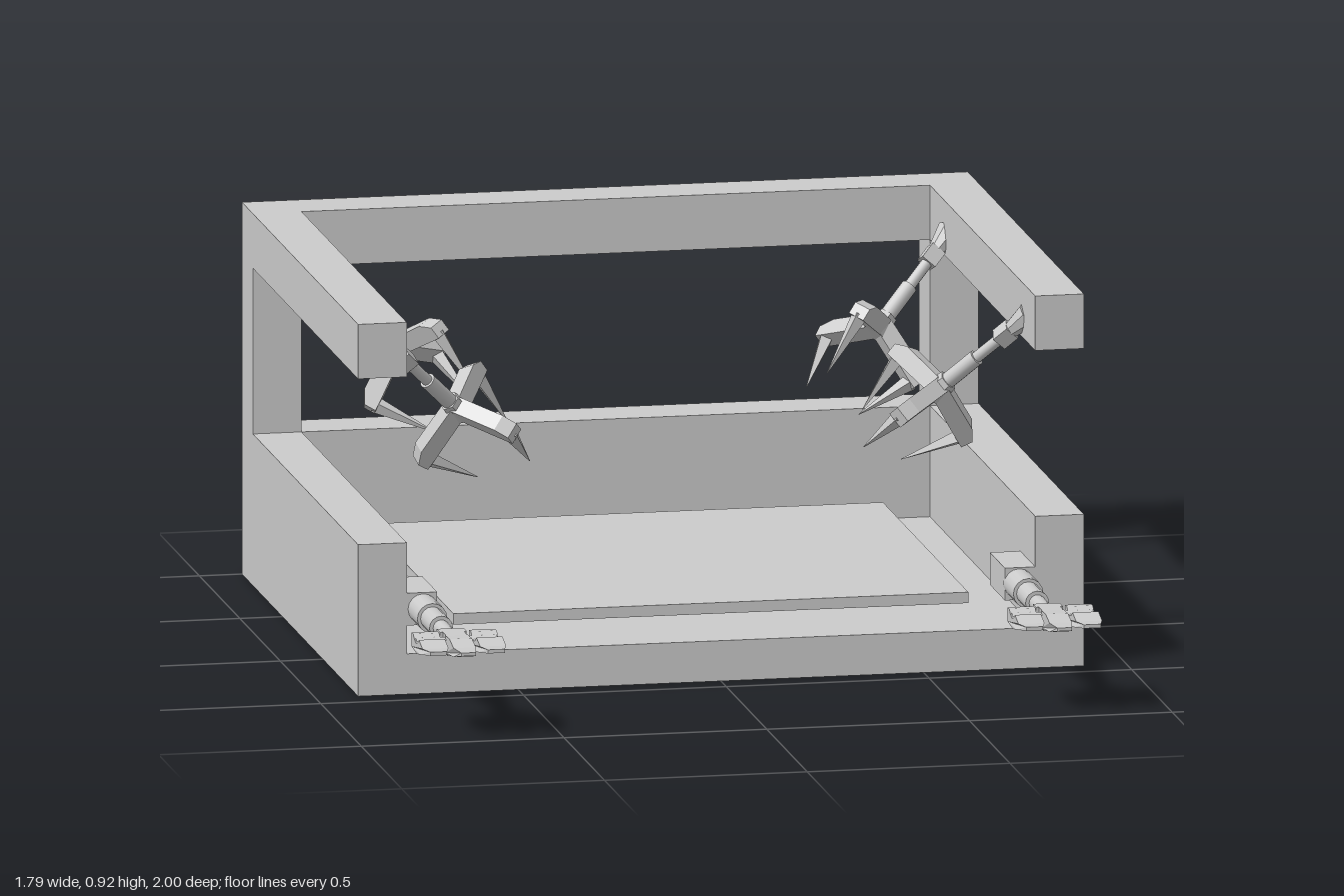
import * as THREE from 'three';

const grey = new THREE.MeshStandardMaterial({ color: 0xcccccc, flatShading: true });
const smooth = new THREE.MeshStandardMaterial({ color: 0xcccccc });

function add(parent, name, geometry, material = grey) {
  const mesh = new THREE.Mesh(geometry, material);
  mesh.name = name;
  parent.add(mesh);
  return mesh;
}

// Box given by its lower and upper corners
function box(parent, name, a, b) {
  const g = new THREE.BoxGeometry(b[0] - a[0], b[1] - a[1], b[2] - a[2]);
  g.translate((a[0] + b[0]) / 2, (a[1] + b[1]) / 2, (a[2] + b[2]) / 2);
  return add(parent, name, g);
}

// Tapered rod between two points
function rod(parent, name, p, q, r0, r1, sides = 16, material = smooth) {
  const a = new THREE.Vector3(...p), b = new THREE.Vector3(...q);
  const dir = b.clone().sub(a);
  const mesh = add(parent, name, new THREE.CylinderGeometry(r1, r0, dir.length(), sides), material);
  mesh.position.copy(a).add(b).multiplyScalar(0.5);
  mesh.quaternion.setFromUnitVectors(new THREE.Vector3(0, 1, 0), dir.normalize());
  return mesh;
}

// Outline extruded to a given width, centred on its own plane
function plate(points, width) {
  const shape = new THREE.Shape(points.map(([x, y]) => new THREE.Vector2(x, y)));
  return new THREE.ExtrudeGeometry(shape, { depth: width, bevelEnabled: false }).translate(0, 0, -width / 2);
}

// U-shaped plan, open at the front, between two heights
function uFrame(parent, name, y0, y1) {
  const plan = [[-0.895, -0.435], [-0.775, -0.435], [-0.775, 0.865], [0.775, 0.865],
    [0.775, -0.435], [0.895, -0.435], [0.895, 1], [-0.895, 1]];
  const g = plate(plan, y1 - y0).rotateX(-Math.PI / 2).translate(0, (y0 + y1) / 2, 0);
  add(parent, name, g);
}

// Three-pronged claw hanging from the upper rail on a slanted arm
function createClawArm() {
  const arm = new THREE.Group();
  arm.name = 'clawArm';
  const yAxis = new THREE.Vector3(-0.65, -0.65, -0.41).normalize();
  const xAxis = new THREE.Vector3(0.108, -0.092, -0.023);
  xAxis.addScaledVector(yAxis, -xAxis.dot(yAxis)).normalize();
  const zAxis = xAxis.clone().cross(yAxis);
  arm.quaternion.setFromRotationMatrix(new THREE.Matrix4().makeBasis(xAxis, yAxis, zAxis));
  arm.position.set(0.6, 0.645, 0.15);

  rod(arm, 'armMount', [0, -0.3, 0], [0, -0.235, 0], 0.034, 0.02, 8, grey);
  box(arm, 'armJoint', [-0.02, -0.24, -0.02], [0.02, -0.195, 0.02]);
  rod(arm, 'armRod', [0, -0.2, 0], [0, -0.1, 0], 0.014, 0.014);
  rod(arm, 'armSleeve', [0, -0.12, 0], [0, 0, 0], 0.02, 0.02);
  rod(arm, 'clawHub', [0, -0.025, 0], [0, 0.035, 0], 0.026, 0.032, 6, grey);

  const bar = [[0, -0.018], [0.135, 0.028], [0.163, 0.055], [0.155, 0.085], [0.125, 0.075], [0, 0.03]];
  for (let k = 0; k < 3; k++) {
    const prong = new THREE.Group();
    prong.name = 'clawProng';
    prong.rotation.y = k * Math.PI * 2 / 3;
    add(prong, 'prongBar', plate(bar, 0.042));
    rod(prong, 'prongSpike', [0.142, 0.07, 0], [0.088, 0.222, 0], 0.021, 0.001, 4, grey);
    arm.add(prong);
  }
  return arm;
}

// Telescopic arm with a flat three-fingered hand, reaching forward
function createFrontArm() {
  const arm = new THREE.Group();
  arm.name = 'frontArm';
  box(arm, 'armHousing', [0.7, 0.17, 0.25], [0.775, 0.25, 0.435]);

  const x = 0.735, y = 0.21;
  const stages = [[0.42, 0.55, 0.037], [0.54, 0.66, 0.029], [0.65, 0.79, 0.02]];
  for (const [z0, z1, r] of stages) rod(arm, 'armStage', [x, y, z0], [x, y, z1], r, r);
  box(arm, 'wristCollar', [x - 0.033, y - 0.022, 0.77], [x + 0.033, y + 0.022, 0.81]);
  box(arm, 'wrist', [x - 0.026, y - 0.024, 0.8], [x + 0.026, y + 0.022, 0.87]);
  rod(arm, 'knuckleAxle', [x - 0.1, y + 0.004, 0.845], [x + 0.1, y + 0.004, 0.845], 0.014, 0.014);

  // Side outlines as (forward, up), narrowed towards the fingertip
  const outer = [[0.81, 0.2], [0.875, 0.195], [0.92, 0.203], [0.985, 0.213], [0.985, 0.222],
    [0.945, 0.222], [0.9, 0.235], [0.885, 0.225], [0.865, 0.219], [0.845, 0.225], [0.83, 0.235], [0.81, 0.235]];
  const middle = [[0.85, 0.19], [0.9, 0.195], [0.95, 0.2], [1, 0.212], [1, 0.22],
    [0.95, 0.222], [0.9, 0.234], [0.85, 0.232]];
  const finger = (name, outline, width, offset) => {
    const g = plate(outline, width).rotateY(-Math.PI / 2);
    const p = g.attributes.position;
    for (let i = 0; i < p.count; i++) if (p.getZ(i) > 0.96) p.setX(i, p.getX(i) * 0.65);
    g.translate(x + offset, 0, 0);
    g.computeVertexNormals();
    add(arm, name, g);
  };
  for (const s of [-1, 1]) finger('outerFinger', outer, 0.064, s * 0.071);
  finger('middleFinger', middle, 0.055, 0);
  return arm;
}

export function createModel() {
  const model = new THREE.Group();
  model.name = 'workBay';

  // Open-fronted frame
  uFrame(model, 'lowerWall', 0, 0.375);
  uFrame(model, 'upperRail', 0.785, 0.92);
  for (const x of [-0.895, 0.775]) box(model, 'rearPost', [x, 0.375, -1], [x + 0.12, 0.785, -0.865]);

  // Floor and raised platform
  box(model, 'floor', [-0.775, 0, -0.865], [0.775, 0.1, 0.435]);
  box(model, 'pedestal', [-0.155, 0.1, -0.37], [0.155, 0.14, -0.06]);
  box(model, 'platform', [-0.635, 0.14, -0.745], [0.635, 0.167, 0.31]);

  // Mirrored arms: one front arm and two claw arms on each side
  for (const sx of [1, -1]) {
    const side = new THREE.Group();
    side.name = sx > 0 ? 'leftArms' : 'rightArms';
    side.scale.x = sx;
    side.add(createFrontArm());
    side.add(createClawArm());
    const rear = new THREE.Group();
    rear.name = 'rearClaw';
    rear.scale.z = -1;
    rear.position.z = -0.435;
    rear.add(createClawArm());
    side.add(rear);
    model.add(side);
  }
  return model;
}
